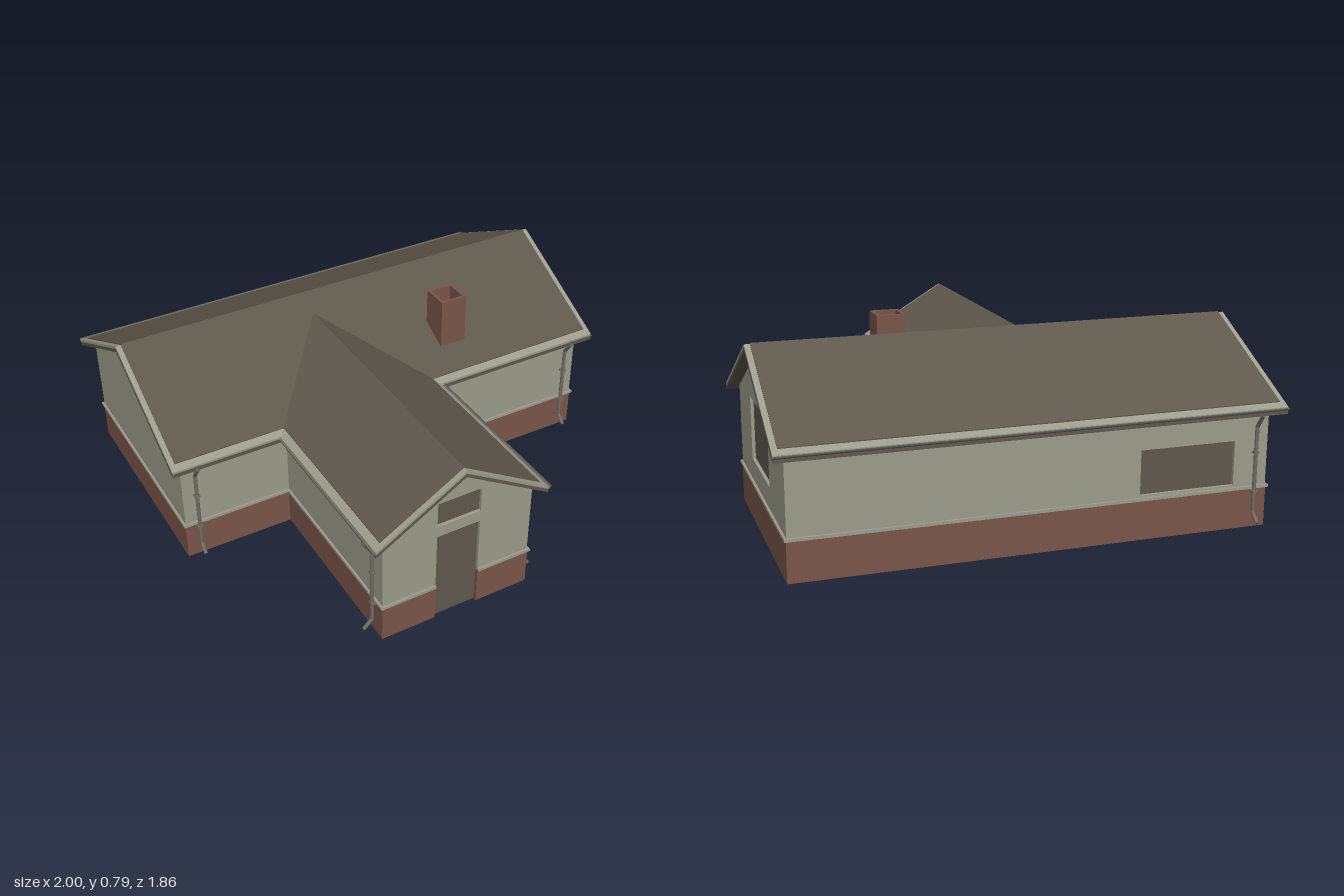
import * as THREE from 'three';

const mat = (name, color, side = THREE.FrontSide) => {
  const m = new THREE.MeshStandardMaterial({ color, side });
  m.name = name;
  return m;
};

const BASE = 0.165, T = 0.02;
const MAIN = { ridge: 0.77, slope: 0.51, z: -0.383 };
const WING = { ridge: 0.72, slope: 0.6, x: -0.16 };
const X = 0.953, ZF = 0.1, ZB = -0.86, WL = -0.488, WR = 0.168, WF = 0.893;
const DOOR = [-0.255, -0.065, 0.415];

export function createModel() {
  const render = mat('renderedWall', 0x9d9c8c);
  const dark = mat('roofAndPanel', 0x5f584d);
  const brick = mat('brick', 0x79554b);
  const metal = mat('gutterMetal', 0x706e62, THREE.DoubleSide);

  const house = new THREE.Group();
  house.name = 'house';
  const add = (name, geo, material, parent = house) => {
    const m = new THREE.Mesh(geo, material);
    m.name = name;
    parent.add(m);
    return m;
  };
  const shapeOf = pts => new THREE.Shape(pts.map(p => new THREE.Vector2(...p)));
  const rect = (u0, u1, v0, v1) => [[u0, v0], [u1, v0], [u1, v1], [u0, v1]];
  const extrude = (shape, depth) => new THREE.ExtrudeGeometry(shape, { depth, bevelEnabled: false });

  // Walls: a panel from a to b (left to right seen from outside), with optional
  // gable peak, window holes and a doorway notch
  function wall(name, a, b, eave, { peak, windows = [], door } = {}) {
    const g = new THREE.Group();
    g.name = name;
    const dx = b[0] - a[0], dz = b[1] - a[1], L = Math.hypot(dx, dz);
    const pts = [[0, BASE]];
    if (door) pts.push([door[0], BASE], [door[0], door[2]], [door[1], door[2]], [door[1], BASE]);
    pts.push([L, BASE], [L, eave]);
    if (peak) pts.push([L / 2, peak]);
    pts.push([0, eave]);
    const s = shapeOf(pts);
    for (const w of windows) s.holes.push(new THREE.Path(rect(...w).map(p => new THREE.Vector2(...p))));
    add(name + 'Panel', extrude(s, T).translate(0, 0, -T), render, g);
    const pane = (label, u0, u1, v0, v1) => add(label,
      new THREE.BoxGeometry(u1 - u0, v1 - v0, 0.006).translate((u0 + u1) / 2, (v0 + v1) / 2, -T + 0.004), dark, g);
    windows.forEach(w => pane('windowPane', ...w));
    if (door) pane('door', door[0], door[1], 0, door[2]);
    g.position.set(a[0], 0, a[1]);
    g.rotation.y = -Math.atan2(dz, dx);
    house.add(g);
  }
  const mainEave = 0.505, wingEave = 0.507;
  wall('backWall', [X, ZB], [-X, ZB], mainEave, { windows: [[1.363, 1.763, 0.18, 0.36]] });
  wall('leftGable', [X, ZF], [X, ZB], mainEave, { peak: 0.752, windows: [[0.27, 0.65, 0.26, 0.515]] });
  wall('rightGable', [-X, ZB], [-X, ZF], mainEave, { peak: 0.752 });
  wall('frontWallRight', [-X, ZF], [WL, ZF], mainEave);
  wall('frontWallLeft', [WR, ZF], [X, ZF], mainEave);
  wall('wingWallLeft', [WR, WF], [WR, ZF], wingEave);
  wall('wingWallRight', [WL, ZF], [WL, WF], wingEave);
  const d0 = DOOR[0] - WL, d1 = DOOR[1] - WL;
  wall('wingGable', [WL, WF], [WR, WF], wingEave,
    { peak: 0.702, windows: [[d0, d1, 0.465, 0.575]], door: [d0, d1, DOOR[2]] });

  // Plinth: a band round the T-shaped plan, open at the doorway
  const plan = o => [
    [DOOR[1], WF + o], [WR + o, WF + o], [WR + o, ZF + o], [X + o, ZF + o], [X + o, ZB - o],
    [-X - o, ZB - o], [-X - o, ZF + o], [WL - o, ZF + o], [WL - o, WF + o], [DOOR[0], WF + o]];
  function band(name, outer, inner, y0, y1, material) {
    const pts = [...plan(outer), ...plan(inner).reverse()].map(([x, z]) => [x, -z]);
    add(name, extrude(shapeOf(pts), y1 - y0).rotateX(-Math.PI / 2).translate(0, y0, 0), material);
  }
  band('brickPlinth', 0.002, -T, 0, BASE, brick);
  band('plinthLining', -T, -T - 0.004, 0, BASE, dark);
  band('plinthLedge', 0.009, -0.01, BASE - 0.006, BASE + 0.006, render);

  // Roofs: chevron layers of soffit, pale border and inset tiles
  const chevron = (r, h, top, bottom, length) => {
    const y = (d, o) => r.ridge + o - r.slope * d;
    return extrude(shapeOf([[-h, y(h, bottom)], [0, y(0, bottom)], [h, y(h, bottom)],
      [h, y(h, top)], [0, y(0, top)], [-h, y(h, top)]]), length);
  };
  const layers = [['Soffit', -0.012, -0.028, 0, dark], ['Border', 0, -0.012, 0, render], ['Tiles', 0.004, 0, 0.028, dark]];
  for (const [label, top, bottom, inset, material] of layers) {
    const L = 2 - 1.6 * inset;
    add('mainRoof' + label, chevron(MAIN, 0.537 - inset, top, bottom, L)
      .translate(0, 0, -L / 2).rotateY(Math.PI / 2).translate(0, 0, MAIN.z), material);

    // The wing roof's rear end is cut along the valley with the main slope
    const geo = chevron(WING, 0.377 - inset, top, bottom, 1);
    const p = geo.attributes.position;
    for (let i = 0; i < p.count; i++) {
      const valley = MAIN.z + (MAIN.ridge - p.getY(i)) / MAIN.slope - 0.01;
      p.setZ(i, p.getZ(i) > 0.5 ? 0.93 - inset * 0.8 : valley);
    }
    geo.computeVertexNormals();
    add('wingRoof' + label, geo.translate(WING.x, 0, 0), material);
  }

  // Gutters: half-round channels under the eaves
  function gutter(name, a, b) {
    const L = Math.hypot(b[0] - a[0], b[1] - a[1]);
    const geo = new THREE.CylinderGeometry(0.014, 0.014, L, 8, 1, true, -Math.PI / 2, Math.PI)
      .rotateX(Math.PI / 2);
    if (a[1] === b[1]) geo.rotateY(Math.PI / 2);
    add(name, geo, metal).position.set((a[0] + b[0]) / 2, 0.496, (a[1] + b[1]) / 2);
  }
  gutter('backGutter', [-1, -0.918], [1, -0.918]);
  gutter('frontGutterRight', [-1, 0.151], [-0.55, 0.151]);
  gutter('frontGutterLeft', [0.23, 0.151], [1, 0.151]);
  gutter('wingGutterRight', [-0.536, 0.16], [-0.536, 0.93]);
  gutter('wingGutterLeft', [0.216, 0.16], [0.216, 0.93]);

  // Downpipes: swan neck from the gutter, straight drop and kicked-out shoe
  const up = new THREE.Vector3(0, 1, 0);
  function downpipe(name, x, z, ox, oz) {
    const g = new THREE.Group();
    g.name = name;
    const pts = [[0.05, 0.488], [0.05, 0.465], [0.014, 0.415], [0.014, 0.065], [0.05, 0.03]]
      .map(([o, y]) => new THREE.Vector3(x + ox * o, y, z + oz * o));
    for (let i = 0; i < pts.length - 1; i++) {
      const dir = pts[i].clone().sub(pts[i + 1]);
      const seg = add('pipeSection', new THREE.CylinderGeometry(0.008, 0.008, dir.length() + 0.004, 8), metal, g);
      seg.position.addVectors(pts[i], pts[i + 1]).multiplyScalar(0.5);
      seg.quaternion.setFromUnitVectors(up, dir.normalize());
    }
    for (const y of [0.31, 0.15]) {
      add('pipeClip', new THREE.BoxGeometry(0.022, 0.008, 0.022), metal, g)
        .position.set(x + ox * 0.012, y, z + oz * 0.012);
    }
    house.add(g);
  }
  downpipe('frontDownpipeRight', -0.897, ZF, 0, 1);
  downpipe('frontDownpipeLeft', 0.895, ZF, 0, 1);
  downpipe('backDownpipe', -0.897, ZB, 0, -1);
  downpipe('wingDownpipeRight', WL, 0.838, -1, 0);
  downpipe('wingDownpipeLeft', WR, 0.838, 1, 0);

  // Chimney: hollow brick stack
  const stack = shapeOf(rect(-0.06, 0.06, -0.06, 0.06));
  stack.holes.push(new THREE.Path(rect(-0.047, 0.047, -0.047, 0.047).map(p => new THREE.Vector2(...p))));
  add('chimney', extrude(stack, 0.235).rotateX(-Math.PI / 2), brick).position.set(0.36, 0.555, -0.05);

  return house;
}
